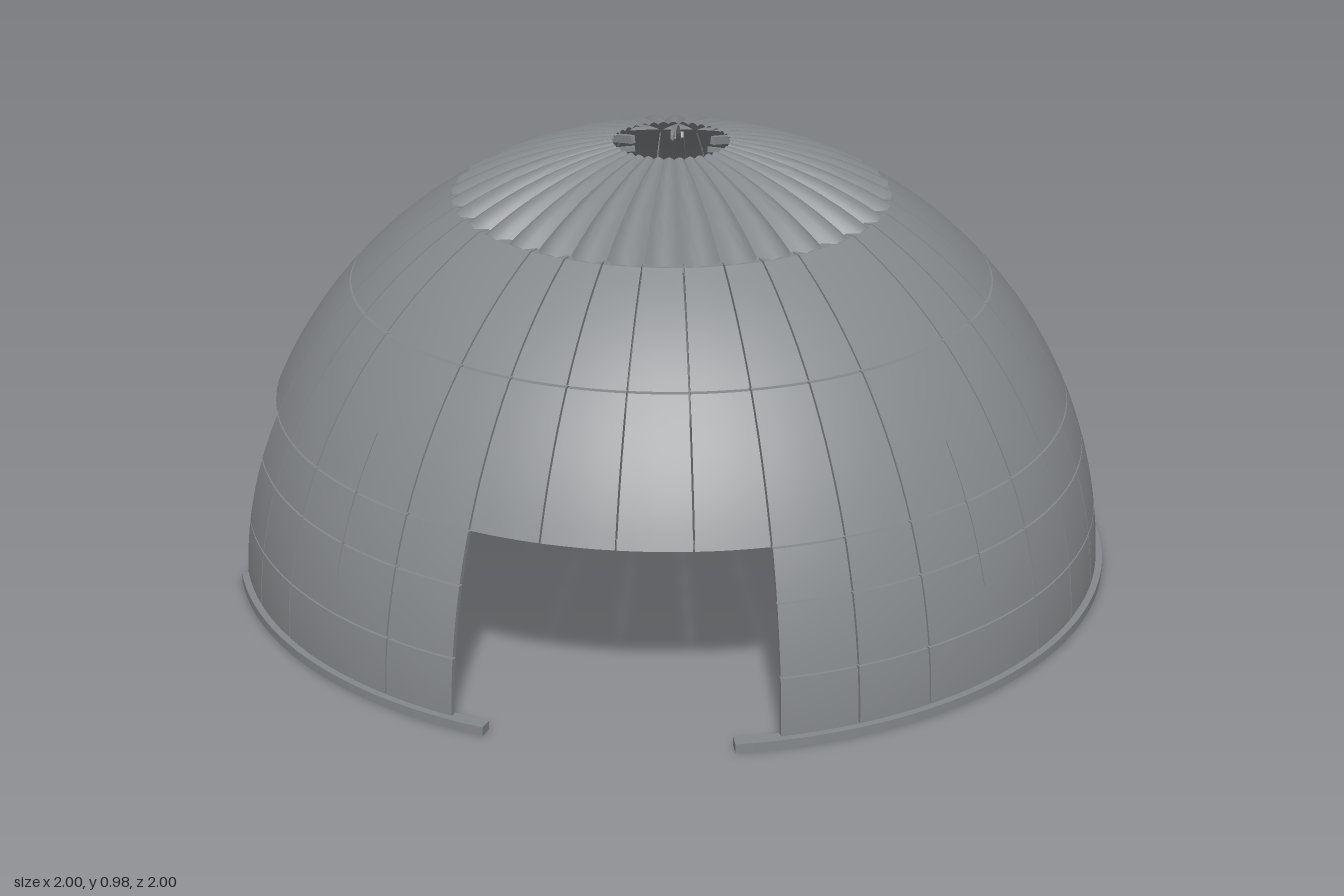
import * as THREE from 'three';
import { toCreasedNormals } from 'three/addons/utils/BufferGeometryUtils.js';

const R = 0.985;                       // dome radius
const WALL = 0.012;                    // panel thickness
const GAP = 0.004;                     // open joint between panels
const RAD = Math.PI / 180;
const elev = (y) => Math.asin(y / R) / RAD;
const DOOR_TOP = 0.4, CAP_Y = 0.855;
const CAP_BOTTOM = elev(CAP_Y), CAP_TOP = Math.acos(0.13 / R) / RAD;
const LEVELS = [0, 0.145, 0.295, DOOR_TOP, 0.67, CAP_Y];

// Azimuth in degrees runs from -x towards +z. Two doorways: 20..60 and 290..330.
const RINGS = [[54.5, 295], [330, 384.5]];
const inDoor = (a) => (a > 20 && a < 60) || (a > 290 && a < 330);

export function createModel() {
  const model = new THREE.Group();
  model.name = 'dome';
  const shellMat = new THREE.MeshStandardMaterial({ color: 0x85888b, side: THREE.DoubleSide });
  shellMat.name = 'shell grey';

  const group = (name) => {
    const g = new THREE.Group();
    g.name = name;
    model.add(g);
    return g;
  };
  const add = (name, geo, parent) => {
    const mesh = new THREE.Mesh(geo, shellMat);
    mesh.name = name;
    parent.add(mesh);
    return mesh;
  };

  // Curved wall panel: a box bent onto the sphere, with level top and bottom edges
  const panel = (a0, a1, y0, y1) => {
    const geo = new THREE.BoxGeometry(1, 1, 1, Math.round((a1 - a0) / 2.5), 8, 1);
    const p = geo.attributes.position;
    for (let i = 0; i < p.count; i++) {
      const y = y0 + (y1 - y0) * (p.getY(i) + 0.5);
      const rad = R - WALL * (0.5 - p.getZ(i));
      const r = Math.sqrt(rad * rad - y * y);
      const half = (a1 - a0) / 2 * RAD - GAP / 2 / r;
      const a = (a0 + a1) / 2 * RAD + half * 2 * p.getX(i);
      p.setXYZ(i, -r * Math.cos(a), y, r * Math.sin(a));
    }
    geo.computeVertexNormals();
    return geo;
  };

  // Flat arc-shaped bar, extruded along z
  const arcBar = (r0, r1, d0, d1, depth, segs) => {
    const s = new THREE.Shape();
    s.absarc(0, 0, r1, d0 * RAD, d1 * RAD, false);
    s.absarc(0, 0, r0, d1 * RAD, d0 * RAD, true);
    return toCreasedNormals(
      new THREE.ExtrudeGeometry(s, { depth, bevelEnabled: false, curveSegments: segs }), 0.6);
  };

  // Upright bar following a meridian
  const meridian = (name, a, r0, r1, e0, e1, width, parent) => {
    const geo = arcBar(r0, r1, e0, e1, width, 32).translate(0, 0, -width / 2);
    add(name, geo, parent).rotation.y = (180 + a) * RAD;
  };

  // Panels every ten degrees, double width across the four axes
  const shell = group('wallPanels');
  for (let a = 0; a < 360; a += 10) {
    if (a % 90 === 0) continue;
    const width = (a + 10) % 90 === 0 ? 20 : 10;
    for (let i = 0; i < LEVELS.length - 1; i++) {
      if (LEVELS[i] < DOOR_TOP && inDoor(a + width / 2)) continue;
      add('panel', panel(a, a + width, LEVELS[i] + GAP, LEVELS[i + 1]), shell);
    }
  }

  // Fluted crown with an open centre: valleys pressed in between rounded flutes
  const profile = [];
  for (let i = 0; i <= 10; i++) {
    const e = (CAP_BOTTOM + (CAP_TOP - CAP_BOTTOM) * i / 10) * RAD;
    profile.push(new THREE.Vector2(R * Math.cos(e), R * Math.sin(e)));
  }
  const cap = new THREE.LatheGeometry(profile, 36 * 8);
  const p = cap.attributes.position, v = new THREE.Vector3();
  for (let i = 0; i < p.count; i++) {
    v.fromBufferAttribute(p, i);
    const r = Math.hypot(v.x, v.z);
    const flute = Math.abs(Math.sin(18 * Math.atan2(v.x, v.z)));
    v.setLength(R + 0.012 * r - 0.045 * r * (1 - flute));
    p.setXYZ(i, v.x, v.y, v.z);
  }
  add('flutedCrown', toCreasedNormals(cap, 0.6), model);

  // Base ring, broken at the doorways
  const base = group('baseRing');
  RINGS.forEach(([a0, a1]) => {
    const geo = arcBar(0.97, 1, 180 - a1, 180 - a0, 0.02, 96);
    geo.rotateX(Math.PI / 2).translate(0, 0.02, 0);
    add('baseRingSection', geo, base);
  });

  // Hoops behind the joints above the doorways and at mid height
  const hoops = group('innerHoops');
  [DOOR_TOP, 0.67].forEach((y) => {
    const r = Math.sqrt((R - WALL) ** 2 - (y + 0.015) ** 2);
    const geo = arcBar(r - 0.012, r, 0, 360, 0.015, 144);
    geo.rotateX(Math.PI / 2).translate(0, y + 0.015, 0);
    add('hoop', geo, hoops);
  });

  // Inner ribs, with thin tips reaching into the crown opening
  const ribs = group('innerRibs');
  for (let a = 0; a < 360; a += 45) {
    const foot = inDoor(a) ? elev(DOOR_TOP) + 0.9 : 0.5;
    meridian('innerRib', a, R - 0.028, R - WALL, foot, CAP_BOTTOM, 0.024, ribs);
    meridian('upperRib', a, R - 0.038, R - 0.02, CAP_BOTTOM, CAP_TOP, 0.012, ribs);
    if (a % 90) {
      meridian('ribTip', a, R - 0.032, R - 0.02, CAP_TOP, 85.2, 0.005, ribs);
    } else {
      meridian('ribFin', a, R - WALL, R + 0.002, elev(0.23), elev(0.52), 0.004, ribs);
    }
  }
  return model;
}
